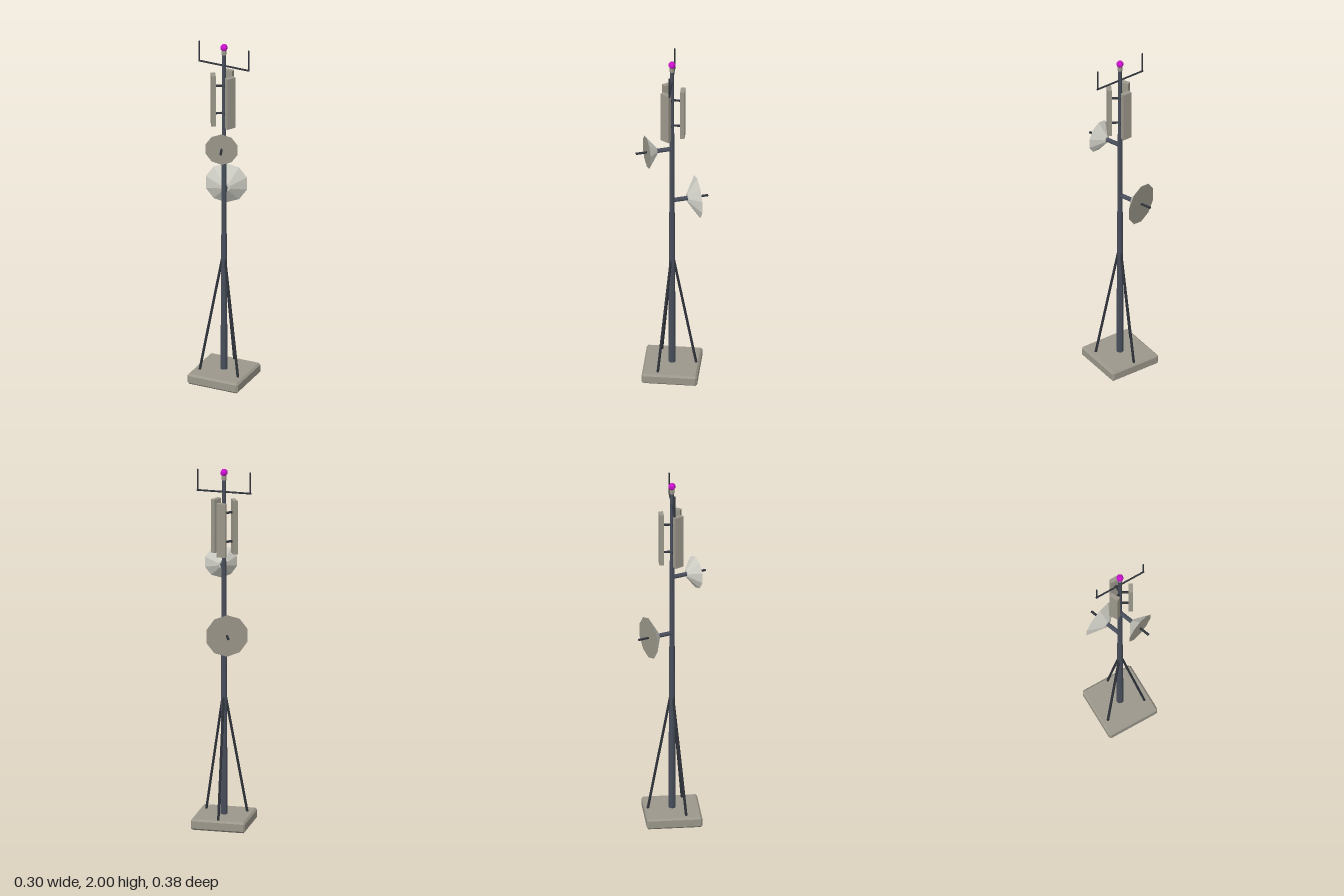
import * as THREE from 'three';
import { ConvexGeometry } from 'three/addons/geometries/ConvexGeometry.js';

const mat = (name, color) => {
  const m = new THREE.MeshStandardMaterial({ color, flatShading: true });
  m.name = name;
  return m;
};

export function createModel() {
  const root = new THREE.Group();
  root.name = 'radioMast';
  const grey = mat('warmGrey', 0x9b978b);
  const pale = mat('paleGrey', 0xcfcfc6);
  const steel = mat('blueSteel', 0x484e5b);
  const dark = mat('darkMetal', 0x2f333a);
  const magenta = mat('beaconMagenta', 0xc912cc);

  const add = (name, geometry, material, parent = root) => {
    const mesh = new THREE.Mesh(geometry, material);
    mesh.name = name;
    parent.add(mesh);
    return mesh;
  };
  // Straight rod between two points
  const rod = (name, a, b, r0, r1, material, parent = root, sides = 6) => {
    const p = new THREE.Vector3(...a), q = new THREE.Vector3(...b);
    const dir = q.clone().sub(p);
    const mesh = add(name, new THREE.CylinderGeometry(r1, r0, dir.length(), sides), material, parent);
    mesh.position.copy(p).add(q).multiplyScalar(0.5);
    mesh.quaternion.setFromUnitVectors(new THREE.Vector3(0, 1, 0), dir.normalize());
    return mesh;
  };

  // Base slab with every edge chamfered
  const pts = [], c = 0.01, half = [0.15, 0.03, 0.15];
  for (const sx of [-1, 1]) for (const sy of [-1, 1]) for (const sz of [-1, 1]) {
    for (let axis = 0; axis < 3; axis++) {
      const h = half.map((v, i) => (i === axis ? v : v - c));
      pts.push(new THREE.Vector3(sx * h[0], sy * h[1], sz * h[2]));
    }
  }
  add('baseSlab', new ConvexGeometry(pts), grey).position.y = 0.033;

  // Tapered mast, collar and beacon
  rod('mast', [0, 0.05, 0], [0, 1.945, 0], 0.02, 0.01, steel, root, 8);
  rod('beaconCollar', [0, 1.938, 0], [0, 1.968, 0], 0.013, 0.013, grey, root, 8);
  const beacon = add('beacon', new THREE.SphereGeometry(0.021, 6, 5), magenta);
  beacon.position.y = 1.98;
  beacon.rotation.y = Math.PI / 6;

  // Three legs, and three panel antennas on brackets, spaced evenly round the mast
  for (let i = 0; i < 3; i++) {
    const sector = new THREE.Group();
    sector.name = 'sector' + (i + 1);
    sector.rotation.y = Math.PI + i * Math.PI * 2 / 3;
    root.add(sector);
    rod('braceLeg', [0, 0.055, 0.132], [0, 0.73, 0.008], 0.007, 0.007, dark, sector);
    add('panelAntenna', new THREE.BoxGeometry(0.052, 0.3, 0.024), grey, sector).position.set(0, 1.672, 0.058);
    for (const y of [1.59, 1.753]) rod('panelBracket', [0, y, 0], [0, y, 0.05], 0.007, 0.007, dark, sector);
  }

  // Dishes: arm, shallow cone, flat face and feed rod, pointing along local +z
  const dish = (name, y, r, angle) => {
    const g = new THREE.Group();
    g.name = name;
    g.position.y = y;
    g.rotation.y = angle;
    root.add(g);
    rod('dishArm', [0, 0, 0], [0, 0, 0.092], 0.012, 0.012, steel, g, 8);
    const back = add('dishBack', new THREE.CylinderGeometry(r, r * 0.22, 0.055, 10, 1, true), pale, g);
    back.rotation.x = Math.PI / 2;
    back.position.z = 0.1125;
    const hub = add('dishHub', new THREE.CircleGeometry(r * 0.22, 10, Math.PI / 2), pale, g);
    hub.rotation.y = Math.PI;
    hub.position.z = 0.085;
    add('dishFace', new THREE.CircleGeometry(r, 10, Math.PI / 2), grey, g).position.z = 0.14;
    rod('feedRod', [0, 0, 0.13], [0, 0, 0.2], 0.007, 0.007, dark, g);
  };
  const turn = THREE.MathUtils.degToRad(20);
  dish('upperDish', 1.438, 0.091, turn);
  dish('lowerDish', 1.104, 0.117, turn + Math.PI);

  // Whip antennas on a crossbar
  rod('crossbar', [-0.15, 1.872, 0], [0.15, 1.872, 0], 0.005, 0.005, dark);
  for (const s of [-1, 1]) rod('whip', [s * 0.146, 1.87, 0], [s * 0.146, 1.99, 0], 0.004, 0.004, dark);

  return root;
}
